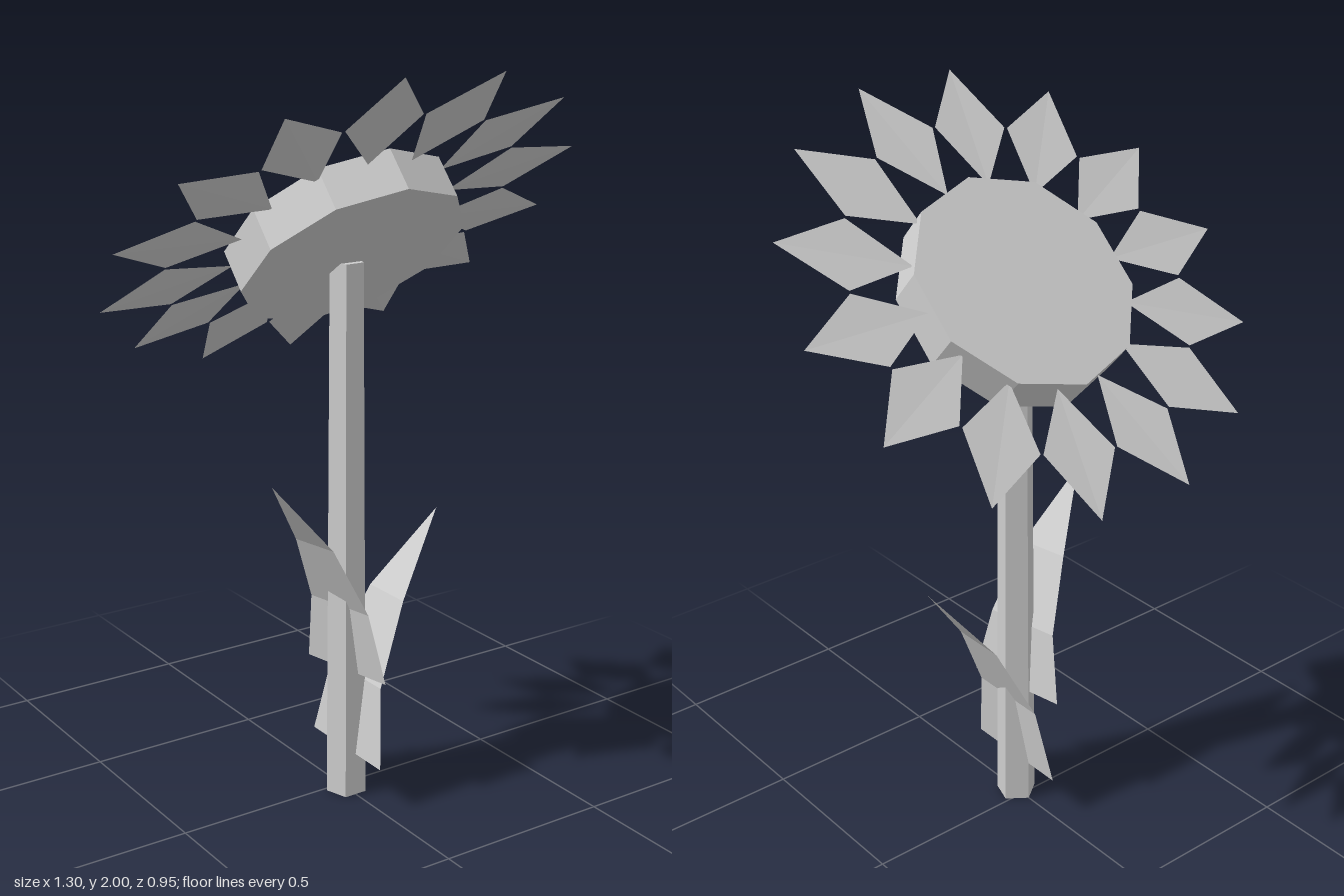
import * as THREE from 'three';

const grey = new THREE.MeshStandardMaterial({ color: 0xcccccc, flatShading: true });
grey.name = 'light grey';
const thinGrey = grey.clone(); // same colour for open sheets
thinGrey.side = THREE.DoubleSide;

const AXIS_Z = 0.028; // stem axis

function part(name, geometry, material) {
  const mesh = new THREE.Mesh(geometry, material);
  mesh.name = name;
  return mesh;
}

// Open sheet from points and triangle corners
function sheet(points, triangles) {
  const geometry = new THREE.BufferGeometry();
  geometry.setAttribute('position', new THREE.Float32BufferAttribute(points.flat(), 3));
  geometry.setIndex(triangles.flat());
  const flat = geometry.toNonIndexed();
  flat.computeVertexNormals();
  return flat;
}

// Leaf growing along +x: rows of [outward, height, half width], ending in a point
function leafGeometry() {
  const rows = [[0, 0, 0.163], [0.03, 0.217, 0.12], [0.133, 0.434, 0.078]];
  const points = rows.flatMap(([x, y, w]) => [[x, y, w], [x, y, -w]]);
  points.push([0.3, 0.65, 0]);
  const triangles = [];
  for (let i = 0; i < 4; i += 2) triangles.push([i, i + 2, i + 1], [i + 1, i + 2, i + 3]);
  triangles.push([4, 6, 5]);
  return sheet(points, triangles);
}

// Kite-shaped petal along +x with a slight centre fold
function petalGeometry() {
  return sheet(
    [[0.295, 0, 0], [0.468, 0.004, 0.103], [0.652, 0, 0], [0.468, 0.004, -0.103]],
    [[0, 1, 2], [0, 2, 3]]
  );
}

export function createModel() {
  const model = new THREE.Group();
  model.name = 'flower';

  // Five-sided tapering stem
  const stem = part('stem', new THREE.CylinderGeometry(0.046, 0.057, 1.495, 5), grey);
  stem.position.set(0, 1.495 / 2, AXIS_Z);
  stem.rotation.y = Math.PI;
  model.add(stem);

  // Two leaves, the upper one smaller and turned
  const leafShape = leafGeometry();
  const leaves = [
    ['leftLeaf', 0.122, 1, 0],
    ['rightLeaf', 0.36, 0.905, Math.PI + 0.195],
  ];
  for (const [name, y, scale, turn] of leaves) {
    const leaf = part(name, leafShape, thinGrey);
    leaf.position.set(0, y, AXIS_Z);
    leaf.scale.setScalar(scale);
    leaf.rotation.y = turn;
    model.add(leaf);
  }

  // Tilted head: ten-sided disc and a ring of petals
  const head = new THREE.Group();
  head.name = 'head';
  head.position.y = 1.5775;
  head.rotation.x = -0.7287;
  const disc = part('seedDisc', new THREE.CylinderGeometry(0.31, 0.31, 0.119, 10), grey);
  disc.position.y = -0.0335;
  head.add(disc);

  const petalShape = petalGeometry();
  const petalCount = 14;
  for (let i = 0; i < petalCount; i++) {
    const petal = part('petal', petalShape, thinGrey);
    petal.rotation.y = (i / petalCount) * Math.PI * 2;
    head.add(petal);
  }
  model.add(head);

  return model;
}
